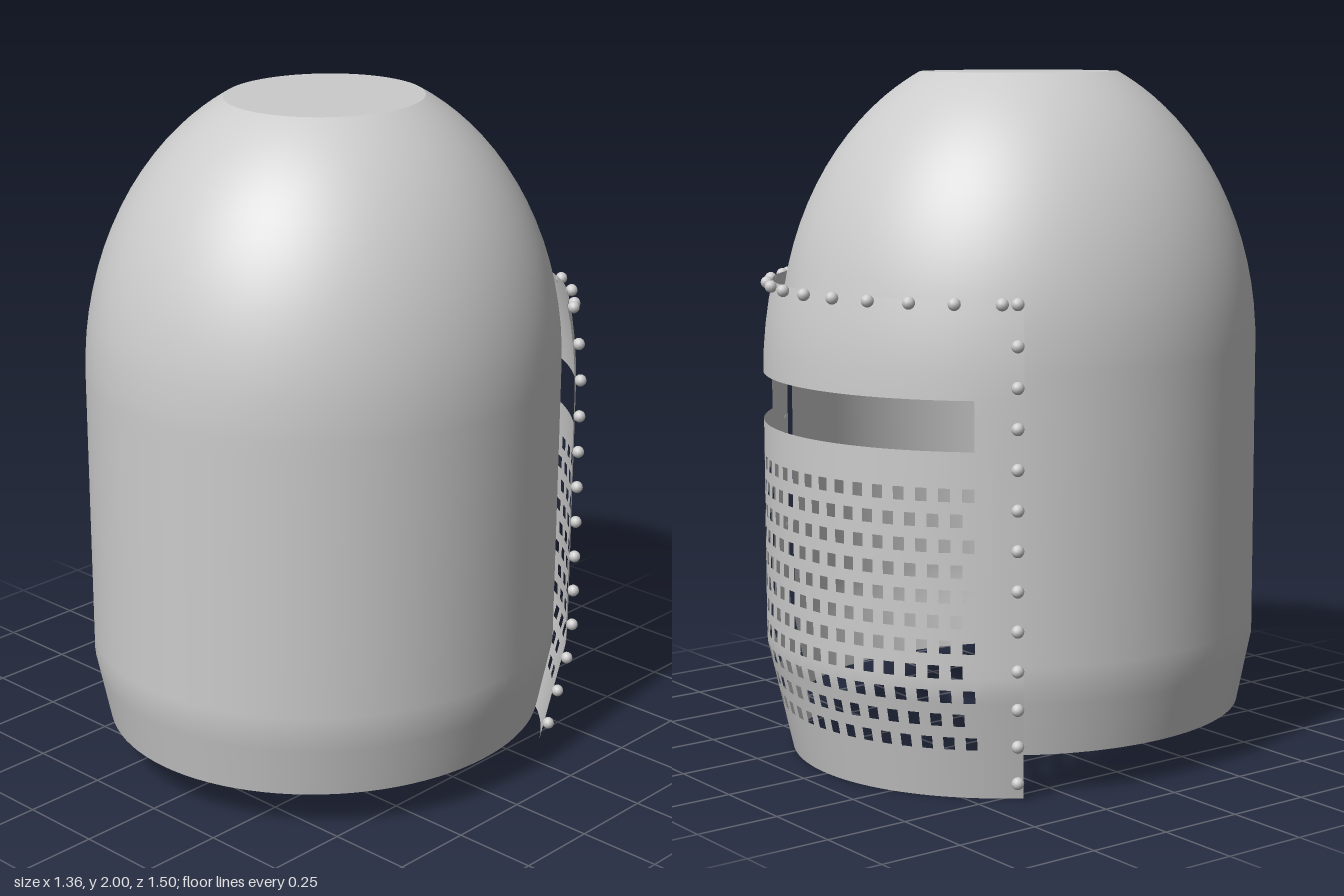
import * as THREE from 'three';

const CZ = 0.03; // z of the helmet's vertical axis
const metal = new THREE.MeshStandardMaterial({ color: 0xcccccc, side: THREE.DoubleSide });

// Point on an elliptical ring; angle a is measured from the back (-z) towards +x
const ring = (rx, rz, a, y, s) => [rx * s * Math.sin(a), y, CZ - rz * s * Math.cos(a)];

// Curved sheet made of cells in angle and height; cells where open(i, y) is true are left out
function sheet({ rx, rz, a0, step, cells, closed, ys, scale, open }) {
  const cols = closed ? cells : cells + 1;
  const pos = [], index = [];
  for (const y of ys)
    for (let i = 0; i < cols; i++) pos.push(...ring(rx, rz, a0 + i * step, y, scale(y)));
  for (let j = 0; j < ys.length - 1; j++)
    for (let i = 0; i < cells; i++) {
      if (open(i, (ys[j] + ys[j + 1]) / 2)) continue;
      const k = (i + 1) % cols;
      const a = j * cols + i, b = j * cols + k, c = a + cols, d = b + cols;
      index.push(a, c, b, b, c, d);
    }
  const g = new THREE.BufferGeometry();
  g.setAttribute('position', new THREE.Float32BufferAttribute(pos, 3));
  g.setIndex(index);
  g.computeVertexNormals();
  return g;
}

export function createModel() {
  const helmet = new THREE.Group();
  helmet.name = 'helmet';
  const add = (name, geometry, parent = helmet) => {
    const m = new THREE.Mesh(geometry, metal);
    m.name = name;
    parent.add(m);
    return m;
  };

  // Shell: tapered rim, straight wall, elliptical dome, face opening behind the visor
  const RX = 0.68, RZ = 0.72;
  const shellScale = y =>
    y < 0.33 ? 0.94 + 0.06 * (y - 0.12) / 0.21
      : y < 1.2 ? 1
        : Math.sqrt(1 - ((y - 1.2) / 0.878) ** 2);
  const shellYs = [0.12, 0.2, 0.27, 0.33, 0.38, 0.6, 0.9, 1.15, 1.2, 1.25, 1.32, 1.38];
  for (let i = 1; i <= 16; i++) shellYs.push(1.38 + 0.62 * Math.sin(i / 16 * Math.PI / 2));
  const N = 96;
  add('shell', sheet({
    rx: RX, rz: RZ, a0: -Math.PI, step: 2 * Math.PI / N, cells: N, closed: true,
    ys: shellYs, scale: shellScale,
    open: (i, y) => {
      const fromBack = Math.abs(i + 0.5 - N / 2);
      return (fromBack < 13 && y < 1.25) || (fromBack < 4 && y < 1.38);
    },
  }));

  // Flat crown closing the dome
  const crown = add('crown', new THREE.CircleGeometry(1, N));
  crown.rotation.x = -Math.PI / 2;
  crown.scale.set(RX * shellScale(2), RZ * shellScale(2), 1);
  crown.position.set(0, 2, CZ);

  // Visor: riveted plate with an eye slit and staggered breathing holes
  const VX = 0.717, VZ = 0.775, CELLS = 43, STEP = 0.0449, EDGE = 4;
  const visorScale = y =>
    y < 0.33 ? 0.903 + 0.097 * y / 0.33
      : y < 1.13 ? 1
        : 1 - 0.04 * ((y - 1.13) / 0.27) ** 2;
  const ROWS = 11, PITCH = 0.0705, HOLE = 0.037, FIRST = 0.165 - HOLE / 2;
  const visorYs = [0, 0.07];
  for (let r = 0; r < ROWS; r++) visorYs.push(FIRST + r * PITCH, FIRST + r * PITCH + HOLE);
  visorYs.push(0.99, 1.06, 1.13, 1.2, 1.27, 1.34, 1.4);
  const visor = new THREE.Group();
  visor.name = 'visor';
  helmet.add(visor);
  add('visorPlate', sheet({
    rx: VX, rz: VZ, a0: -CELLS / 2 * STEP, step: STEP, cells: CELLS, closed: false,
    ys: visorYs, scale: visorScale,
    open: (i, y) => {
      if (i < EDGE || i >= CELLS - EDGE) return false;
      if (y > 0.99 && y < 1.13) return true;
      const r = Math.floor((y - FIRST) / PITCH);
      const inRow = r >= 0 && r < ROWS && y - FIRST - r * PITCH < HOLE;
      return inRow && (i - EDGE) % 2 === r % 2;
    },
  }), visor);

  // Rivets down both side edges and along the top edge
  const rivetGeometry = new THREE.SphereGeometry(0.018, 12, 8);
  const rivet = (a, y) => {
    const p = ring(VX + 0.015, VZ + 0.015, a, y, visorScale(y));
    add('rivet', rivetGeometry, visor).position.set(...p);
  };
  for (let i = 0; i < 13; i++) for (const s of [-1, 1]) rivet(s * 0.942, 0.05 + i * 0.1117);
  for (let i = -5; i <= 5; i++) rivet(i * 0.177, 1.39);

  return helmet;
}
